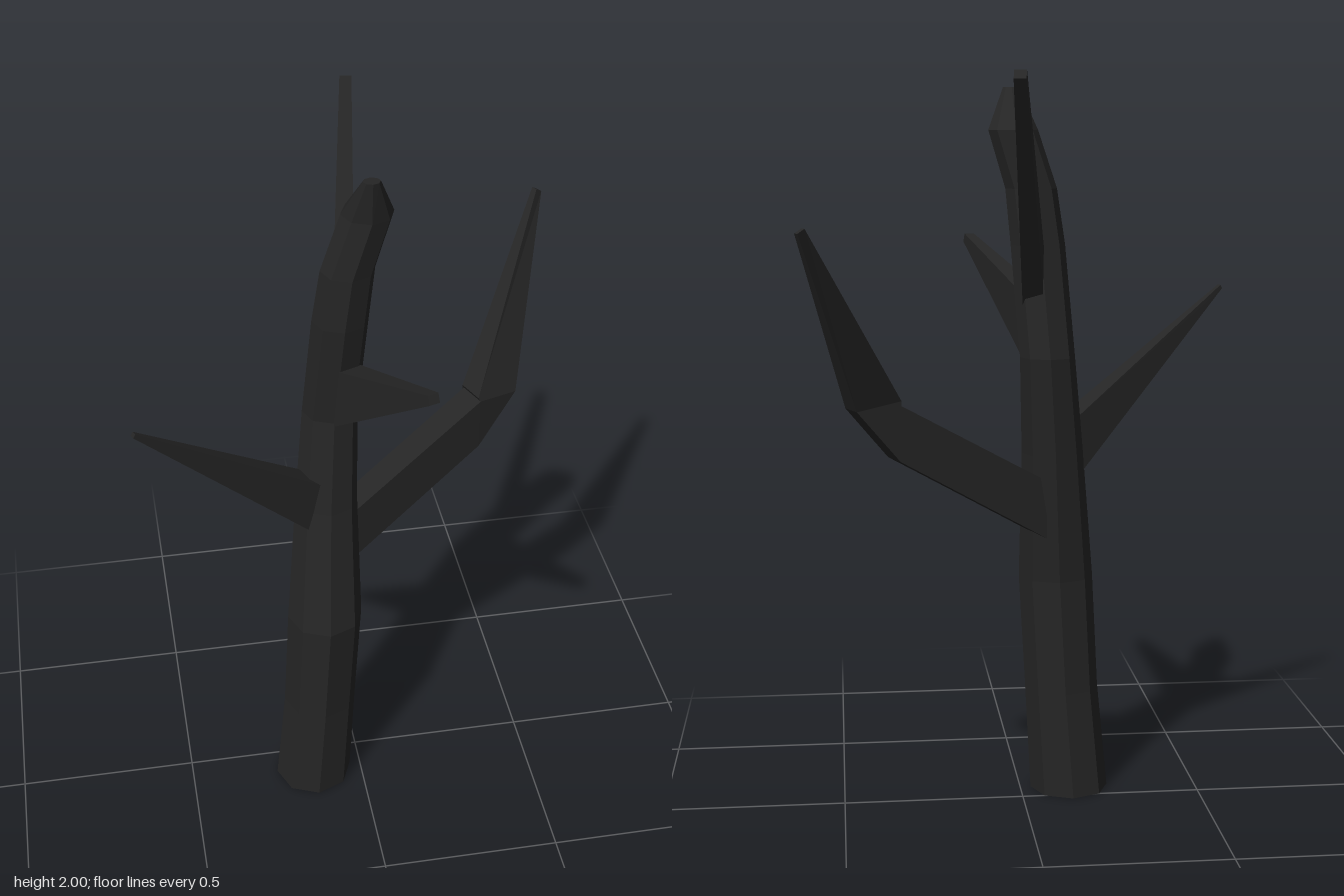
import * as THREE from 'three';

const bark = new THREE.MeshStandardMaterial({ color: 0x252525, flatShading: true });
bark.name = 'charred bark';
const wood = new THREE.MeshStandardMaterial({ color: 0xd9541f, flatShading: true });
wood.name = 'red wood';

// Skins a row of rings; each ring is { c: centre, n: normal, a: height radius, b: width radius }
function loft(name, rings, sides, phase, ref) {
  const pos = [];
  const loops = rings.map(({ c, n, a, b }) => {
    const dir = new THREE.Vector3(...n).normalize();
    const s = new THREE.Vector3().crossVectors(ref, dir).normalize();
    const u = new THREE.Vector3().crossVectors(dir, s);
    return Array.from({ length: sides }, (_, i) => {
      const t = phase + (i / sides) * Math.PI * 2;
      return new THREE.Vector3(...c)
        .addScaledVector(s, b * Math.cos(t))
        .addScaledVector(u, a * Math.sin(t));
    });
  });
  const tri = (...pts) => pts.forEach((p) => pos.push(p.x, p.y, p.z));
  for (let k = 0; k < loops.length - 1; k++) {
    for (let i = 0; i < sides; i++) {
      const j = (i + 1) % sides;
      tri(loops[k][i], loops[k][j], loops[k + 1][j]);
      tri(loops[k][i], loops[k + 1][j], loops[k + 1][i]);
    }
  }
  // end cap
  const end = loops[loops.length - 1];
  for (let i = 1; i < sides - 1; i++) tri(end[0], end[i], end[i + 1]);
  const g = new THREE.BufferGeometry();
  g.setAttribute('position', new THREE.Float32BufferAttribute(pos, 3));
  g.computeVertexNormals();
  const mesh = new THREE.Mesh(g, bark);
  mesh.name = name;
  return mesh;
}

export function createModel() {
  const tree = new THREE.Group();
  tree.name = 'deadTree';

  // Crooked trunk: x, y, z, radius
  const trunk = [
    [-0.14, 0, 0.078, 0.11],
    [-0.118, 0.3, 0.082, 0.103],
    [-0.102, 0.62, 0.092, 0.104],
    [-0.085, 0.98, 0.033, 0.085],
    [-0.067, 1.25, -0.002, 0.075],
    [-0.045, 1.55, 0.04, 0.074],
    [-0.028, 1.7, 0.053, 0.07],
    [0.02, 1.855, 0.058, 0.067],
  ].map(([x, y, z, r]) => ({ c: [x, y, z], n: [0, 1, 0], a: r, b: r }));
  // broken top, leaning forward
  trunk.push({ c: [0.02, 1.968, 0.116], n: [0, 1, 0], a: 0.019, b: 0.022 });
  tree.add(loft('trunk', trunk, 8, 0, new THREE.Vector3(0, 0, 1)));

  // Sawn underside
  const base = new THREE.Mesh(new THREE.CircleGeometry(0.11, 8), wood);
  base.name = 'trunkUnderside';
  base.rotation.x = Math.PI / 2;
  base.position.set(-0.14, 0, 0.078);
  tree.add(base);

  // Four-sided branches, from inside the trunk out to the tip
  const up = new THREE.Vector3(0, 1, 0);
  const branches = {
    leftBranch: [
      { c: [-0.05, 0.83, 0.015], n: [1, 0, -0.4], a: 0.113, b: 0.055 },
      { c: [0.355, 1.075, -0.14], n: [1, 0, -0.4], a: 0.106, b: 0.058 },
      { c: [0.408, 1.15, -0.163], n: [0.15, 1, -0.06], a: 0.09, b: 0.055 },
      { c: [0.585, 1.615, -0.427], n: [0.45, 0.85, -0.25], a: 0.016, b: 0.012 },
    ],
    rightBranch: [
      { c: [-0.08, 0.94, 0.035], n: [-1, 0, 0.43], a: 0.134, b: 0.06 },
      { c: [-0.595, 1.413, 0.264], n: [-1, 0.6, 0.43], a: 0.008, b: 0.01 },
    ],
    frontBranch: [
      { c: [-0.045, 1.315, 0.04], n: [0.35, 0, 1], a: 0.13, b: 0.05 },
      { c: [0.114, 1.547, 0.432], n: [0.35, 0.4, 1], a: 0.018, b: 0.02 },
    ],
    backBranch: [
      { c: [-0.032, 1.425, 0.01], n: [0.15, 0, -1], a: 0.113, b: 0.042 },
      { c: [0.05, 1.987, -0.424], n: [0.15, 0.9, -0.9], a: 0.022, b: 0.022 },
    ],
  };
  for (const [name, rings] of Object.entries(branches)) {
    tree.add(loft(name, rings, 4, Math.PI / 4, up));
  }
  return tree;
}
